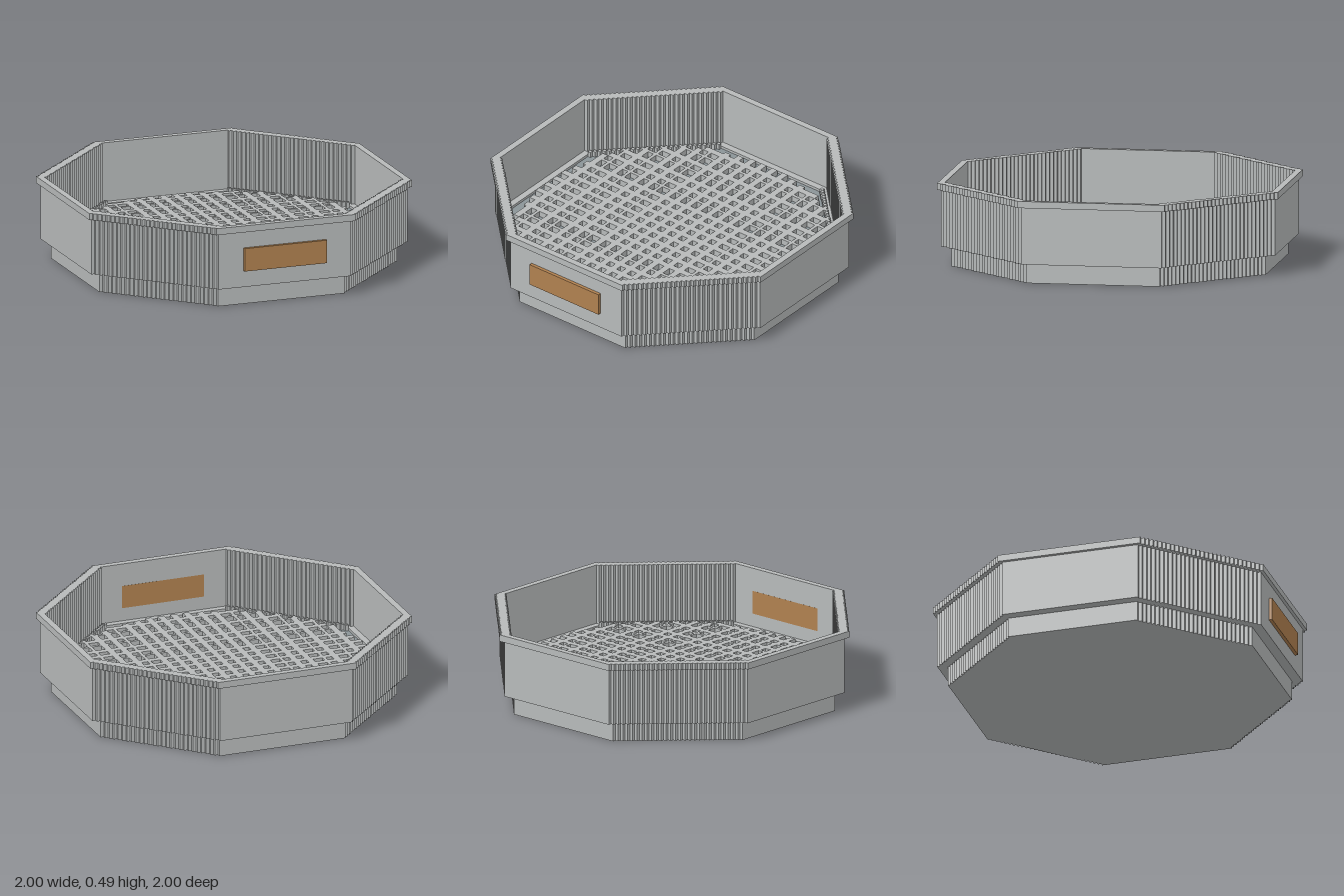
import * as THREE from 'three';
import { mergeGeometries } from 'three/addons/utils/BufferGeometryUtils.js';

const U = 1 / 51; // edge of one small block

const gray = new THREE.MeshStandardMaterial({ color: 0xb7baba });
gray.name = 'stone gray';
const slate = new THREE.MeshStandardMaterial({ color: 0x8b9498 });
slate.name = 'slate gray';
const amber = new THREE.MeshStandardMaterial({ color: 0xb08150 });
amber.name = 'amber brown';

// Octagon whose diagonals are staircases: half width r, half straight side c
function octagon(r, c) {
  const quarter = [];
  for (let i = 0; i <= r - c; i++) {
    quarter.push([c + i, r - i]);
    if (i < r - c) quarter.push([c + i, r - i - 1]);
  }
  const points = [];
  for (let q = 0; q < 4; q++) {
    for (const [x, y] of quarter) {
      const p = [[x, y], [y, -x], [-x, -y], [-y, x]][q];
      points.push(new THREE.Vector2(p[0] * U, p[1] * U));
    }
  }
  return points.reverse(); // counter-clockwise
}

// Upright prism of an octagon, with an optional octagonal opening
function prism(outer, inner, y0, y1) {
  const shape = new THREE.Shape(octagon(...outer));
  if (inner) shape.holes.push(new THREE.Path(octagon(...inner).reverse()));
  const geometry = new THREE.ExtrudeGeometry(shape, { depth: (y1 - y0) * U, bevelEnabled: false });
  return geometry.rotateX(-Math.PI / 2).translate(0, y0 * U, 0);
}

// Box given by its limits in blocks
function block(x0, x1, y0, y1, z0, z1) {
  return new THREE.BoxGeometry((x1 - x0) * U, (y1 - y0) * U, (z1 - z0) * U)
    .translate((x0 + x1) * U / 2, (y0 + y1) * U / 2, (z0 + z1) * U / 2);
}

export function createModel() {
  const model = new THREE.Group();
  const add = (name, geometry, material) => {
    const mesh = new THREE.Mesh(geometry, material);
    mesh.name = name;
    model.add(mesh);
  };

  // Shell: solid foot, overhanging ledge, thin wall and raised rim
  add('base', prism([47, 20], null, 0, 6), gray);
  add('ledge', prism([50, 21], [47, 20], 6, 7), gray);
  add('wall', prism([50, 21], [49, 20], 7, 23), gray);
  add('rim', prism([51, 22], [49, 20], 23, 25), gray);
  add('floor', prism([47, 20], null, 6, 6.2), slate);

  // Grate: bars in both directions, trimmed to a round outline
  const bars = [[1, 3], [5, 7], [9, 11], [13, 15], [18, 19], [21, 23],
    [25, 27], [30, 31], [33, 35], [38, 39], [41, 43]];
  const grate = [];
  for (const [a, b] of bars) {
    const middle = (a + b) / 2;
    const reach = Math.min(46, Math.floor(Math.sqrt(47 * 47 - middle * middle)), 66 - b);
    for (const [p, q] of [[a, b], [-b, -a]]) {
      grate.push(block(p, q, 6, 8, -reach, reach));
      grate.push(block(-reach, reach, 6, 8, p, q));
    }
  }
  add('grate', mergeGeometries(grate), gray);

  // Low stepped ridge along the four diagonal sides
  const ridge = [];
  for (let i = 0; i < 28; i++) {
    const x = 19 + i, z = 46 - i;
    for (const px of [x, -x - 1]) {
      for (const pz of [z, -z - 1]) ridge.push(block(px, px + 1, 6, 8, pz, pz + 1));
    }
  }
  add('diagonalRidge', mergeGeometries(ridge), gray);

  // Front plate, showing on both sides of the wall
  add('frontPlate', block(-13, 13, 11, 18, 48.97, 51), amber);

  return model;
}
